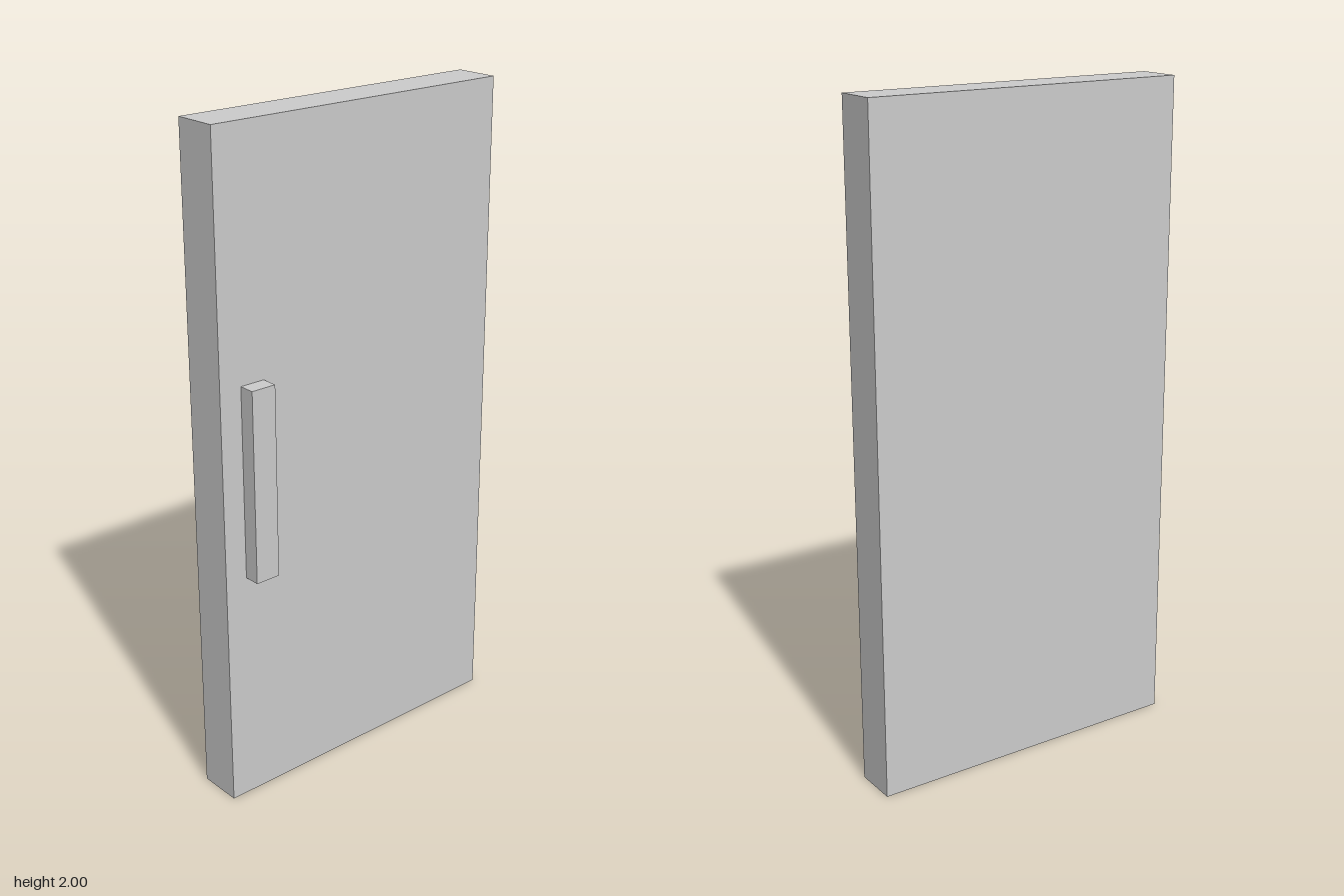
import * as THREE from 'three';

const material = new THREE.MeshStandardMaterial({ color: 0xcccccc, flatShading: true });

// Box given by its lowest and highest corners
function boxBetween(name, min, max) {
  const size = max.map((v, i) => v - min[i]);
  const mesh = new THREE.Mesh(new THREE.BoxGeometry(...size), material);
  mesh.position.set(...max.map((v, i) => (v + min[i]) / 2));
  mesh.name = name;
  return mesh;
}

export function createModel() {
  const door = new THREE.Group();
  door.name = 'door';

  const faceX = 0.043; // outer face of the panel, where the handle sits
  door.add(
    boxBetween('doorPanel', [-0.092, 0, -0.5], [faceX, 2, 0.5]),
    boxBetween('doorHandle', [faceX, 0.714, 0.352], [0.092, 1.29, 0.43]),
  );
  return door;
}
